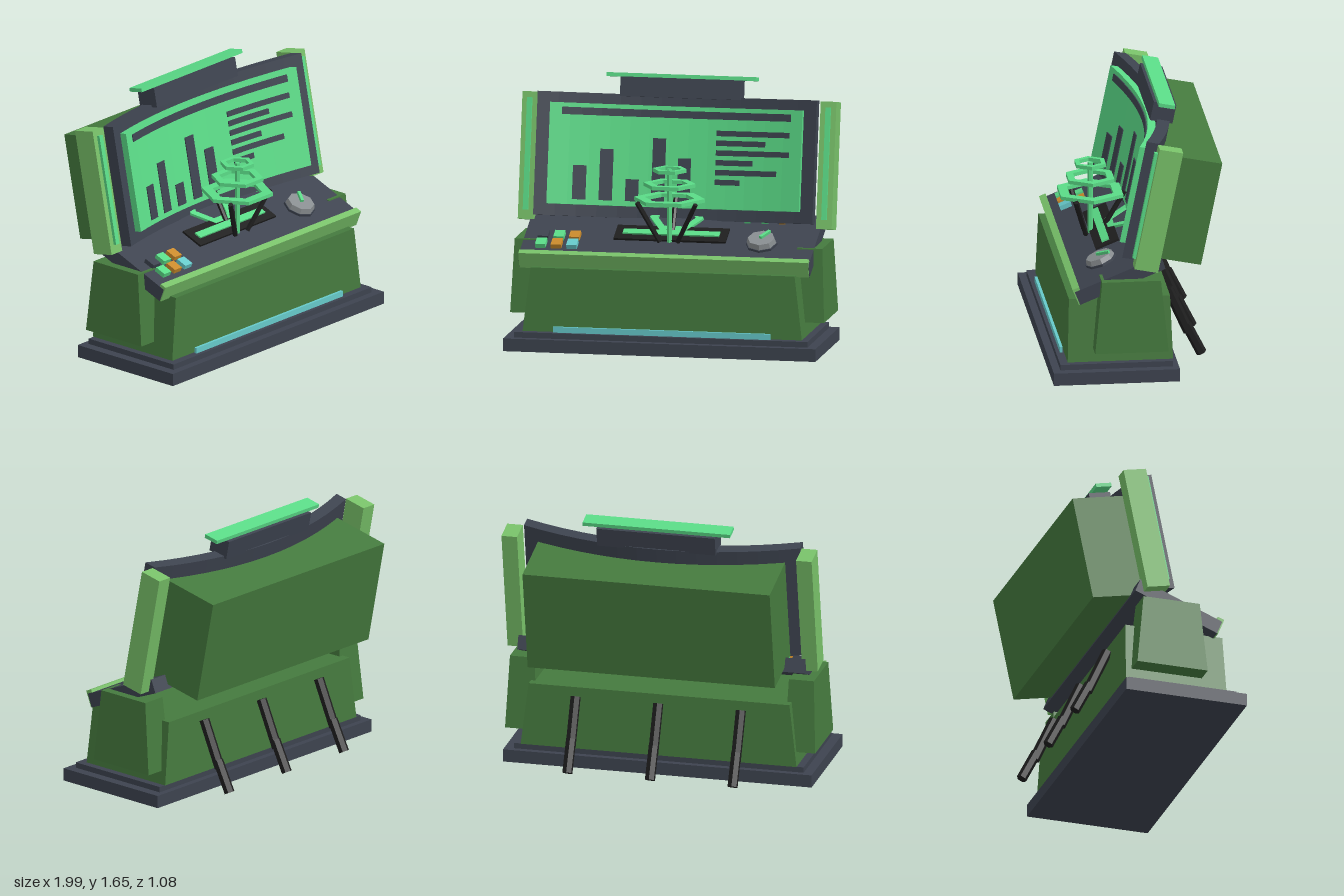
import * as THREE from 'three';

const mat = (name, color) => {
  const m = new THREE.MeshStandardMaterial({ color });
  m.name = name;
  return m;
};

export function createModel() {
  const green = mat('body green', 0x457a3e);
  const lime = mat('light green', 0x78c169);
  const glow = mat('screen green', 0x5adb87);
  const slate = mat('slate', 0x3d434f);
  const black = mat('black', 0x1e1e1e);
  const teal = mat('teal', 0x66c9ca);
  const orange = mat('orange', 0xc98a2b);
  const grey = mat('grey', 0x888d90);

  const model = new THREE.Group();
  model.name = 'controlConsole';
  const group = (name, y, z, tilt) => {
    const g = new THREE.Group();
    g.name = name;
    g.position.set(0, y, z);
    g.rotation.x = tilt;
    model.add(g);
    return g;
  };
  const add = (parent, name, geometry, material, x = 0, y = 0, z = 0) => {
    const m = new THREE.Mesh(geometry, material);
    m.name = name;
    m.position.set(x, y, z);
    parent.add(m);
    return m;
  };
  const box = (parent, name, material, w, h, d, x, y, z) =>
    add(parent, name, new THREE.BoxGeometry(w, h, d), material, x, y, z);

  // Box whose top is scaled in x and z
  const taperedBox = (w, h, d, sx, sz) => {
    const g = new THREE.BoxGeometry(w, h, d);
    const p = g.attributes.position;
    for (let i = 0; i < p.count; i++) {
      if (p.getY(i) > 0) p.setXYZ(i, p.getX(i) * sx, p.getY(i), p.getZ(i) * sz);
    }
    g.computeVertexNormals();
    return g;
  };

  // Plate following the screen's curve, z = front + 0.2 x²; flatBack gives a straight rear wall
  const curvedPlate = (x0, x1, y0, y1, front, thick, flatBack) => {
    const n = Math.max(1, Math.round((x1 - x0) * 8));
    const s = new THREE.Shape();
    const at = (i) => x0 + ((x1 - x0) * i) / n;
    const z = (x) => front + 0.2 * x * x;
    s.moveTo(x0, -z(x0));
    for (let i = 1; i <= n; i++) s.lineTo(at(i), -z(at(i)));
    if (flatBack !== undefined) {
      s.lineTo(x1, -flatBack);
      s.lineTo(x0, -flatBack);
    } else {
      for (let i = n; i >= 0; i--) s.lineTo(at(i), -(z(at(i)) - thick));
    }
    const g = new THREE.ExtrudeGeometry(s, { depth: y1 - y0, bevelEnabled: false });
    return g.rotateX(-Math.PI / 2).translate(0, y0, 0);
  };

  // Straight rod between two points
  const rod = (parent, name, material, a, b, r, sides) => {
    const from = new THREE.Vector3(...a), to = new THREE.Vector3(...b);
    const dir = to.clone().sub(from);
    const g = new THREE.CylinderGeometry(r, r, dir.length(), sides).toNonIndexed();
    g.computeVertexNormals();
    const m = add(parent, name, g, material);
    m.position.copy(from).add(to).multiplyScalar(0.5);
    m.quaternion.setFromUnitVectors(new THREE.Vector3(0, 1, 0), dir.normalize());
  };

  // Flat hexagonal ring with corners on the x axis
  const hexRing = (outer, inner, h) => {
    const pts = (r) => Array.from({ length: 6 }, (_, i) =>
      new THREE.Vector2(r * Math.cos(i * Math.PI / 3), r * Math.sin(i * Math.PI / 3)));
    const s = new THREE.Shape(pts(outer));
    s.holes.push(new THREE.Path(pts(inner).reverse()));
    return new THREE.ExtrudeGeometry(s, { depth: h, bevelEnabled: false })
      .rotateX(-Math.PI / 2).translate(0, -h / 2, 0);
  };

  // Plinth, cabinet and side pods
  box(model, 'base', slate, 1.98, 0.08, 0.79, 0, 0.04, 0.145);
  box(model, 'baseStep', slate, 1.86, 0.036, 0.705, 0, 0.097, 0.14);
  add(model, 'cabinet', taperedBox(1.77, 0.4, 0.66, 0.945, 0.96), green, 0, 0.315, 0.112);
  box(model, 'footLight', teal, 1.375, 0.036, 0.018, 0, 0.133, 0.46);
  for (const s of [-1, 1]) {
    add(model, 'sidePod', taperedBox(0.2, 0.46, 0.46, 0.8, 0.8), green, s * 0.895, 0.43, 0.052);
  }

  // Sloping desk and its controls
  const desk = group('desk', 0.652, 0.117, 0.384);
  box(desk, 'deskTop', slate, 1.84, 0.09, 0.577, 0, 0, 0);
  box(desk, 'deskTrim', lime, 1.836, 0.107, 0.044, 0, 0.011, 0.274);
  const keys = [[slate, glow, orange], [glow, orange, teal]];
  keys.forEach((row, r) => row.forEach((m, c) =>
    box(desk, 'key', m, 0.065, 0.035, 0.075, -0.797 + c * 0.099, 0.057, 0.065 + r * 0.095)));
  [glow, glow, orange].forEach((m, i) =>
    box(desk, 'indicator', m, 0.04, 0.02, 0.04, 0.45 + i * 0.11, 0.05, -0.19));
  box(desk, 'slotPlate', black, 0.71, 0.016, 0.158, 0, 0.05, -0.004);
  box(desk, 'slotLight', glow, 0.61, 0.02, 0.05, 0, 0.058, -0.002);
  add(desk, 'emitterRing', hexRing(0.17, 0.12, 0.02), glow, 0, 0.05, -0.19);
  const facet = (r0, r1, h) => {
    const g = new THREE.CylinderGeometry(r0, r1, h, 8).toNonIndexed();
    g.computeVertexNormals();
    return g;
  };
  add(desk, 'dialBase', facet(0.1, 0.1, 0.02), slate, 0.583, 0.05, 0.068);
  add(desk, 'dial', facet(0.085, 0.098, 0.045), grey, 0.583, 0.07, 0.068);
  const pointer = box(desk, 'dialPointer', glow, 0.02, 0.02, 0.09, 0.603, 0.1, 0.038);
  pointer.rotation.y = -0.55;

  // Projection: post, three rings and three struts
  const holo = group('projection', 0, 0.2, 0);
  rod(holo, 'post', glow, [0, 0.64, 0], [0, 1.125, 0], 0.017, 6);
  [[0.225, 0.932], [0.165, 1.025], [0.107, 1.117]].forEach(([r, y]) =>
    add(holo, 'ring', hexRing(r, r * 0.7, 0.023), glow, 0, y, 0));
  for (let i = 0; i < 3; i++) {
    const a = Math.PI / 3 + i * Math.PI * 2 / 3;
    const sx = Math.sin(a), cz = Math.cos(a);
    rod(holo, 'strut', black, [0.065 * sx, 0.67, 0.065 * cz],
      [0.214 * sx, 0.925, 0.214 * cz], 0.016, 6);
  }

  // Leaning screen assembly
  const screen = group('screen', 1.1225, -0.117, -0.2);
  add(screen, 'screenFrame', curvedPlate(-0.885, 0.885, -0.369, 0.401, -0.009, 0.08), slate);
  add(screen, 'display', curvedPlate(-0.8, 0.8, -0.297, 0.335, 0.04, 0.05), glow);
  add(screen, 'rearHousing', curvedPlate(-0.793, 0.793, -0.364, 0.308, -0.085, 0, -0.366), green);
  box(screen, 'topCap', slate, 0.76, 0.122, 0.143, 0, 0.449, -0.008);
  box(screen, 'topLight', glow, 0.945, 0.024, 0.102, 0, 0.522, -0.007);
  for (const s of [-1, 1]) {
    box(screen, 'pillar', lime, 0.1, 0.795, 0.15, s * 0.945, 0, 0);
    box(screen, 'pillarLight', glow, 0.032, 0.7, 0.02, s * 0.946, 0.01, 0.085);
  }

  // Display readouts
  const mark = (name, x0, x1, y0, y1) =>
    add(screen, name, curvedPlate(x0, x1, y0, y1, 0.047, 0.009), slate);
  mark('headerBar', -0.725, 0.725, 0.262, 0.308);
  [0.213, 0.32, 0.137, 0.398, 0.278].forEach((h, i) =>
    mark('chartBar', -0.647 + i * 0.162, -0.566 + i * 0.162, -0.265, -0.265 + h));
  [0.72, 0.56, 0.72, 0.48, 0.64, 0.4].forEach((end, i) =>
    mark('dataLine', 0.24, end, 0.159 - i * 0.061, 0.193 - i * 0.061));

  // Rear cables
  for (const x of [-0.53, 0, 0.53]) {
    rod(model, 'cable', black, [x, 0.46, -0.225], [x, 0.17, -0.355], 0.033, 6);
    rod(model, 'cable', black, [x, 0.22, -0.34], [x, 0.028, -0.437], 0.033, 6);
  }
  return model;
}
